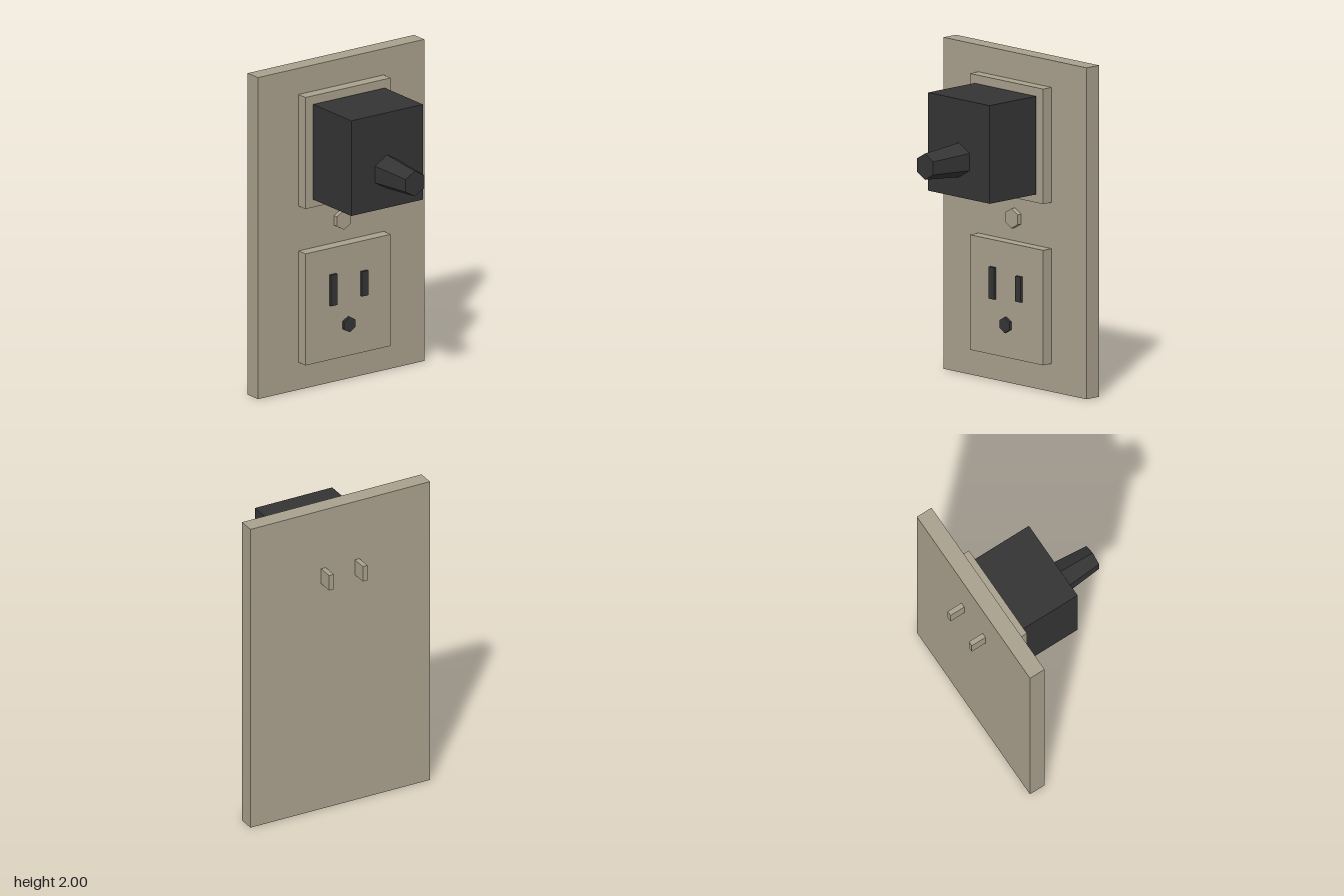
import * as THREE from 'three';

export function createModel() {
  const group = new THREE.Group();
  const beige = new THREE.MeshStandardMaterial({ color: 0xa9a08d, flatShading: true });
  beige.name = 'beige plastic';
  const black = new THREE.MeshStandardMaterial({ color: 0x343434, flatShading: true });
  black.name = 'black plastic';

  const add = (name, geometry, material, x, y, z) => {
    const mesh = new THREE.Mesh(geometry, material);
    mesh.name = name;
    mesh.position.set(x, y, z);
    group.add(mesh);
  };
  // Box centred on x, y and spanning z0 to z1
  const box = (name, material, x, y, w, h, z0, z1) =>
    add(name, new THREE.BoxGeometry(w, h, z1 - z0), material, x, y, (z0 + z1) / 2);
  // Six-sided prism along z, with a corner pointing up
  const hex = (name, material, y, rBack, rFront, z0, z1) =>
    add(name, new THREE.CylinderGeometry(rFront, rBack, z1 - z0, 6).rotateX(Math.PI / 2),
      material, 0, y, (z0 + z1) / 2);

  // Wall plate and centre screw
  box('wallPlate', beige, 0, 1, 1.215, 2, -0.373, -0.27);
  hex('plateScrew', beige, 1.003, 0.06, 0.06, -0.28, -0.241);

  // Two outlets, each with two slots and a ground hole
  for (const [side, y] of [['lower', 0.517], ['upper', 1.49]]) {
    box(side + 'Outlet', beige, 0, y, 0.622, 0.694, -0.28, -0.2);
    box(side + 'WideSlot', black, -0.113, y + 0.087, 0.045, 0.193, -0.21, -0.184);
    box(side + 'NarrowSlot', black, 0.113, y + 0.084, 0.045, 0.154, -0.21, -0.184);
    hex(side + 'GroundHole', black, y - 0.149, 0.048, 0.048, -0.21, -0.184);
  }

  // Power adapter with tapered cord relief
  box('adapterBody', black, 0, 1.491, 0.523, 0.592, -0.191, 0.191);
  hex('cordRelief', black, 1.42, 0.104, 0.079, 0.191, 0.47);

  // Prongs showing behind the plate
  for (const s of [-1, 1]) box('prong', beige, s * 0.114, 1.56, 0.031, 0.1, -0.47, -0.36);

  return group;
}
